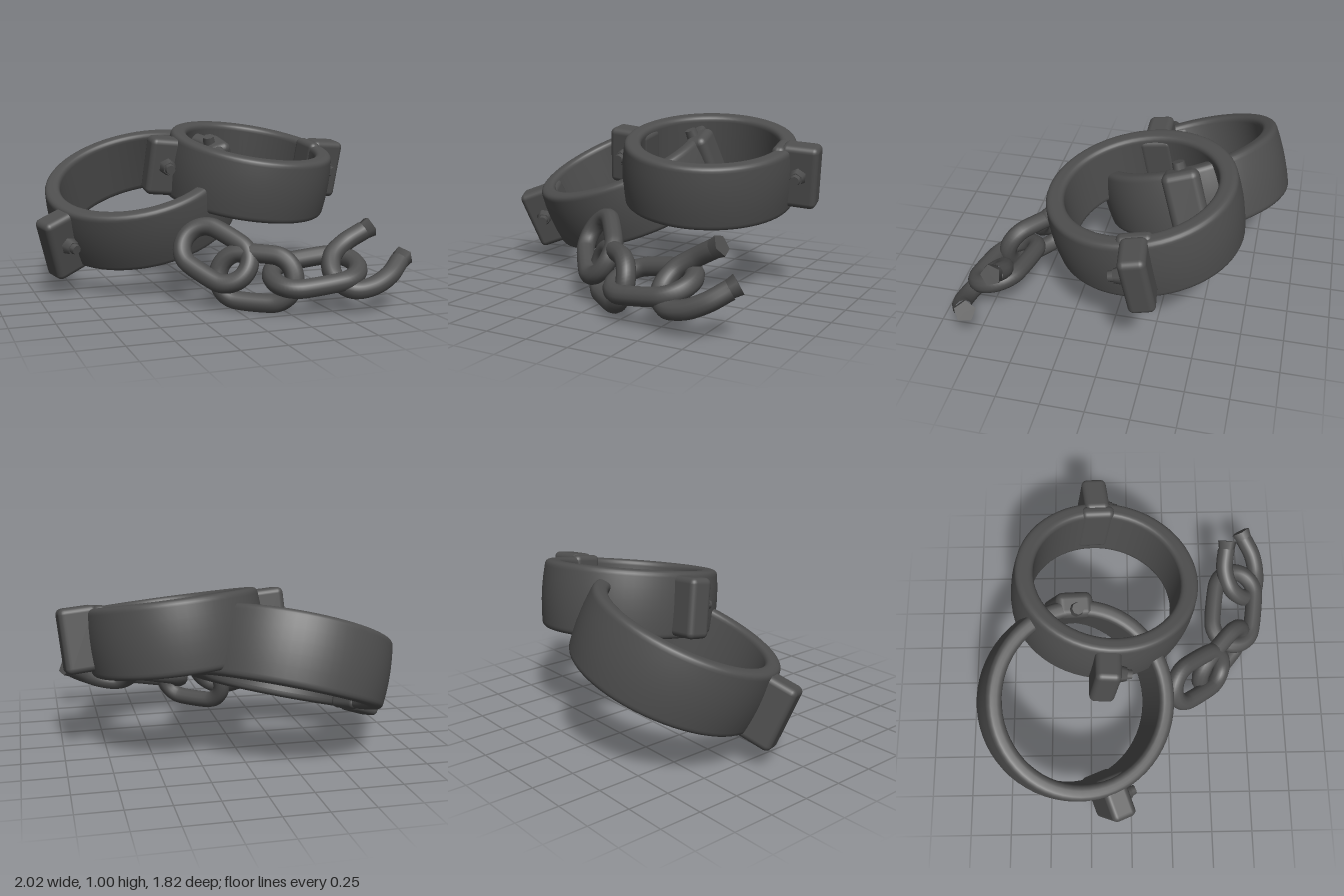
import * as THREE from 'three';
import { RoundedBoxGeometry } from 'three/addons/geometries/RoundedBoxGeometry.js';

const V = (x, y, z) => new THREE.Vector3(x, y, z);
const UP = V(0, 1, 0);

export function createModel() {
  const root = new THREE.Group();
  const iron = new THREE.MeshStandardMaterial({ color: 0x4e4e4e });
  iron.name = 'dark iron';

  const add = (parent, name, geo, x = 0, y = 0, z = 0) => {
    const m = new THREE.Mesh(geo, iron);
    m.name = name;
    m.position.set(x, y, z);
    parent.add(m);
    return m;
  };

  // Rounded band profile, slightly barrelled outside and a little lower in front
  function band(R, t, h) {
    const r = R - t, c = 0.035, k = h / 2;
    const s = new THREE.Shape();
    s.moveTo(r, -k + c);
    s.quadraticCurveTo(r, -k, r + c, -k);
    s.lineTo(R - c - 0.01, -k);
    s.quadraticCurveTo(R - 0.01, -k, R - 0.008, -k + c);
    s.quadraticCurveTo(R + 0.012, 0, R - 0.008, k - c);
    s.quadraticCurveTo(R - 0.01, k, R - c - 0.01, k);
    s.lineTo(r + c, k);
    s.quadraticCurveTo(r, k, r, k - c);
    s.lineTo(r, -k + c);
    const geo = new THREE.LatheGeometry(s.getPoints(5), 64);
    const p = geo.attributes.position;
    for (let i = 0; i < p.count; i++) p.setY(i, p.getY(i) * (1 - 0.05 * p.getZ(i) / R));
    return geo;
  }

  // Clamped flange on the band with a bolt through it
  function lug(cuff, name, angle, R, y, h, side) {
    const g = new THREE.Group();
    g.name = name;
    g.rotation.y = angle;
    g.position.y = y;
    cuff.add(g);
    add(g, 'flange', new RoundedBoxGeometry(0.22, h, 0.15, 3, 0.035), R + 0.05, 0, 0);
    add(g, 'innerPad', new RoundedBoxGeometry(0.08, h * 0.96, 0.2, 3, 0.035), R - 0.068, 0, 0);
    const head = add(g, 'boltHead', new THREE.CylinderGeometry(0.04, 0.055, 0.06, 6), R + 0.05, 0.01, side * 0.095);
    head.rotation.x = side * Math.PI / 2;
    const pin = add(g, 'boltEnd', new THREE.CylinderGeometry(0.028, 0.034, 0.04, 8), R + 0.05, 0.01, side * 0.135);
    pin.rotation.x = side * Math.PI / 2;
  }

  // Band stretched slightly out of round by sx, sz
  function cuff(name, center, normal, R, t, h, sx, sz) {
    const g = new THREE.Group();
    g.name = name;
    g.position.copy(center);
    g.quaternion.setFromUnitVectors(UP, normal.normalize());
    add(g, 'band', band(R, t, h).scale(sx, 1, sz));
    root.add(g);
    return g;
  }

  // Smaller, nearly level cuff
  const small = cuff('smallCuff', V(0.34, 0.705, -0.145), V(0.095, 1, 0.165), 0.525, 0.11, 0.39, 0.975, 1.05);
  lug(small, 'smallCuffRightLug', Math.PI, 0.5, 0, 0.35, -1);
  lug(small, 'smallCuffLeftLug', 0.13, 0.5, 0.035, 0.37, 1);

  // Larger, tilted cuff
  const large = cuff('largeCuff', V(-0.3, 0.545, -0.32), V(-0.275, 1, 0.325), 0.57, 0.1, 0.39, 1.03, 1);
  lug(large, 'largeCuffLug', Math.PI + 0.39, 0.575, -0.015, 0.385, -1);
  const hinge = new THREE.Group();
  hinge.name = 'largeCuffHinge';
  hinge.rotation.y = 0.12;
  large.add(hinge);
  add(hinge, 'hingeBlock', new RoundedBoxGeometry(0.15, 0.4, 0.22, 3, 0.045), 0.55, 0, 0);
  add(hinge, 'hingePin', new THREE.CylinderGeometry(0.036, 0.042, 0.06, 8), 0.52, 0.21, 0);

  // Closed oval link; along and across are its long and short axes
  const wire = 0.054;
  function link(name, center, along, across, half, width) {
    along.normalize();
    across.addScaledVector(along, -across.dot(along)).normalize();
    const pts = [];
    for (let i = 0; i < 24; i++) {
      const a = (i + 0.5) / 24 * Math.PI * 2;
      const u = Math.cos(a) * width + Math.sign(Math.cos(a)) * (half - width);
      pts.push(center.clone().addScaledVector(along, u).addScaledVector(across, Math.sin(a) * width));
    }
    add(root, name, new THREE.TubeGeometry(new THREE.CatmullRomCurve3(pts, true), 72, wire, 12, true));
  }
  link('chainLinkA', V(-0.08, 0.3, 0.435), V(0.21, -0.15, 0.28), V(0.08, 0.16, -0.06), 0.215, 0.128);
  link('chainLinkB', V(0.1, 0.187, 0.595), V(0.77, 0, 0.64), V(0.12, 0.95, -0.16), 0.222, 0.133);
  link('chainLinkC', V(0.415, 0.22, 0.69), V(0.98, 0.13, 0.13), V(-0.1, -0.35, 0.93), 0.245, 0.14);

  // Last link, snapped open
  const open = new THREE.CatmullRomCurve3([
    V(0.745, 0.425, 0.64), V(0.63, 0.36, 0.63), V(0.53, 0.29, 0.67), V(0.5, 0.2, 0.76),
    V(0.57, 0.14, 0.84), V(0.68, 0.15, 0.86), V(0.8, 0.2, 0.84), V(0.9, 0.265, 0.78),
  ]);
  add(root, 'brokenLink', new THREE.TubeGeometry(open, 56, wire, 12));
  for (const [t, sign] of [[0, -1], [1, 1]]) {
    const dir = open.getTangent(t).multiplyScalar(sign);
    const p = open.getPoint(t).addScaledVector(dir, 0.015);
    const tip = add(root, 'brokenTip', new THREE.CylinderGeometry(0.063, 0.05, 0.07, 5), p.x, p.y, p.z);
    tip.quaternion.setFromUnitVectors(UP, dir);
  }
  return root;
}
